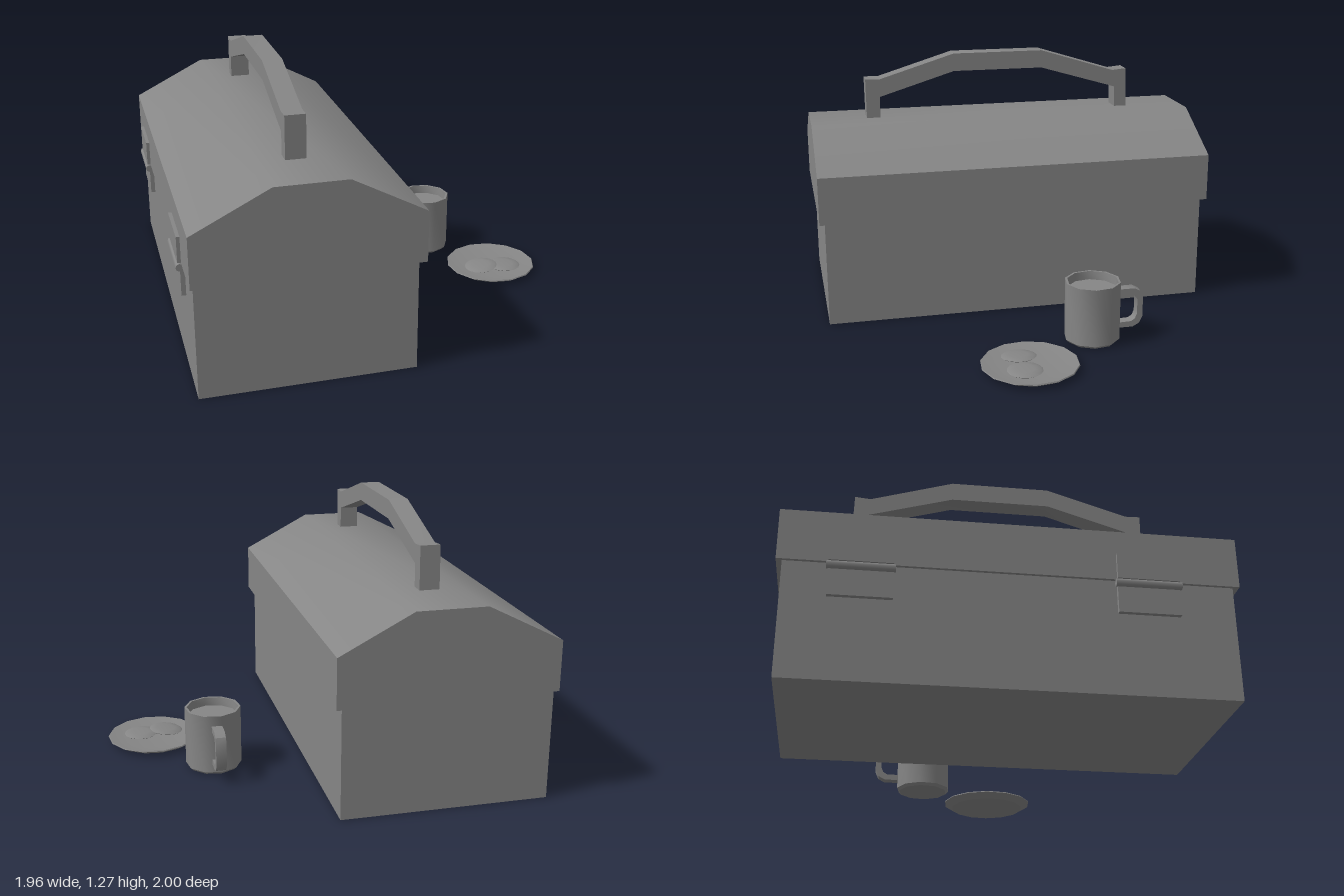
import * as THREE from 'three';
import { toCreasedNormals } from 'three/addons/utils/BufferGeometryUtils.js';

export function createModel() {
  const model = new THREE.Group();
  model.name = 'lunchSet';
  const material = new THREE.MeshStandardMaterial({ color: 0x868686 });

  const add = (name, geometry, x = 0, y = 0, z = 0, parent = model) => {
    const mesh = new THREE.Mesh(geometry, material);
    mesh.name = name;
    mesh.position.set(x, y, z);
    parent.add(mesh);
    return mesh;
  };

  // Extrudes an outline, centred on its depth, smooth over gentle bends
  const slab = (points, depth) => {
    const shape = new THREE.Shape(points.map(([a, b]) => new THREE.Vector2(a, b)));
    const geometry = new THREE.ExtrudeGeometry(shape, { depth, bevelEnabled: false });
    return toCreasedNormals(geometry.translate(0, 0, -depth / 2), 0.65);
  };
  // Same, with the outline drawn as (z, y) and the depth along x
  const sideSlab = (points, depth) => slab(points, depth).rotateY(-Math.PI / 2);

  // Turned part; the start angle sets where the first corner falls
  const lathe = (points, sides, start, crease) => toCreasedNormals(
    new THREE.LatheGeometry(points.map(([r, y]) => new THREE.Vector2(r, y)), sides, start), crease);

  // Box body and overhanging lid with sloped shoulders
  add('boxBody', new THREE.BoxGeometry(0.983, 0.535, 1.948), -0.4485, 0.2675, -0.001);
  add('lid', slab([
    [-0.955, 0.532], [0.073, 0.532], [0.073, 0.77],
    [-0.27, 0.95], [-0.6, 0.95], [-0.955, 0.77],
  ], 2));

  // Arched carrying handle with two posts
  add('carryHandle', sideSlab([
    [0.71, 0.945], [0.712, 1.152], [0.64, 1.15], [0.25, 1.27], [-0.22, 1.27],
    [-0.615, 1.148], [-0.69, 1.155], [-0.697, 0.945], [-0.63, 0.945], [-0.627, 1.058],
    [-0.22, 1.178], [0.25, 1.178], [0.64, 1.058], [0.64, 0.945],
  ], 0.095), -0.437);

  // Hinges: two leaves and a pin
  for (const z of [-0.645, 0.59]) {
    const hinge = new THREE.Group();
    hinge.name = 'hinge';
    hinge.position.z = z;
    model.add(hinge);
    add('upperLeaf', new THREE.BoxGeometry(0.025, 0.122, 0.275), -0.9585, 0.594, 0, hinge);
    add('lowerLeaf', new THREE.BoxGeometry(0.024, 0.125, 0.275), -0.949, 0.437, 0, hinge);
    const pin = new THREE.CylinderGeometry(0.018, 0.018, 0.29, 8).rotateX(Math.PI / 2);
    add('hingePin', pin, -0.963, 0.513, 0, hinge);
  }

  // Mug, filled nearly to the rim
  const mug = new THREE.Group();
  mug.name = 'mug';
  mug.position.set(0.494, 0, -0.26);
  model.add(mug);
  add('mugBody', lathe([
    [0, 0], [0.123, 0], [0.136, 0.013], [0.136, 0.302], [0.125, 0.302], [0.122, 0.26], [0, 0.26],
  ], 10, Math.PI / 20, 0.7), 0, 0, 0, mug);
  add('mugHandle', sideSlab([
    [-0.12, 0.252], [-0.205, 0.252], [-0.235, 0.236], [-0.248, 0.205], [-0.248, 0.105],
    [-0.232, 0.07], [-0.2, 0.053], [-0.12, 0.053], [-0.12, 0.08], [-0.19, 0.082],
    [-0.21, 0.095], [-0.22, 0.12], [-0.22, 0.193], [-0.21, 0.213], [-0.19, 0.224], [-0.12, 0.224],
  ], 0.05), 0, 0, 0, mug);

  // Shallow plate with a flat foot
  add('plate', lathe([
    [0, 0.002], [0.19, 0.002], [0.231, 0.026], [0.228, 0.031], [0.16, 0.02], [0, 0.02],
  ], 14, Math.PI / 28, 0.47), 0.75, 0, 0.11);

  // Two cookies, one leaning on the other
  const cookie = lathe([
    [0, 0], [0.078, 0], [0.084, 0.004], [0.075, 0.009], [0.045, 0.012], [0, 0.013],
  ], 16, 0, 0.7);
  add('flatCookie', cookie, 0.812, 0.021, 0.148);
  add('leaningCookie', cookie, 0.682, 0.031, 0.148).rotation.z = 0.1;

  return model;
}
